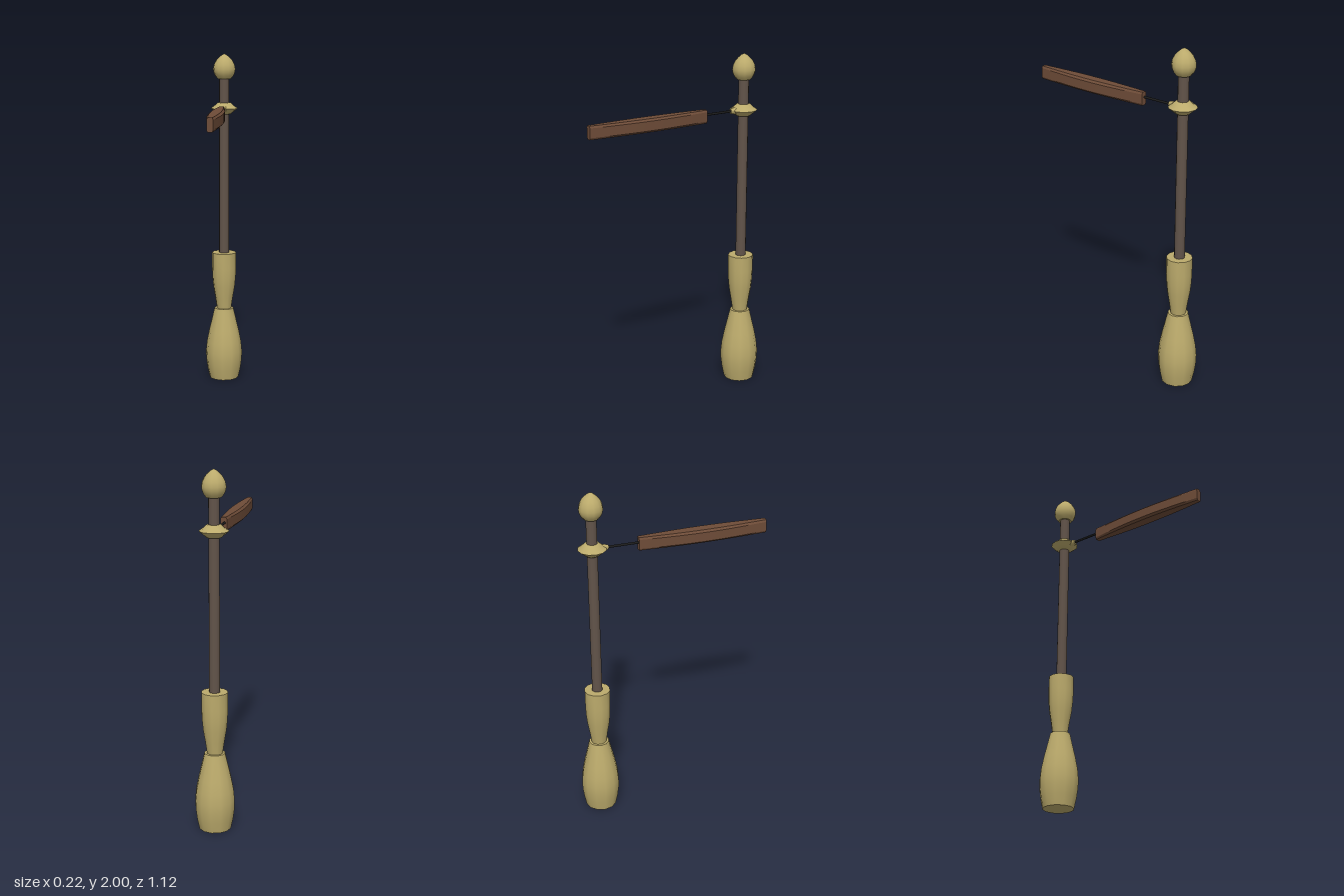
import * as THREE from 'three';
import { toCreasedNormals } from 'three/addons/utils/BufferGeometryUtils.js';

const POST_Z = -0.447;
const ARM_Y = 1.675;

const brass = new THREE.MeshStandardMaterial({ color: 0xbcab6c });
const iron = new THREE.MeshStandardMaterial({ color: 0x62544a });
const wood = new THREE.MeshStandardMaterial({ color: 0x6e4c38 });
const black = new THREE.MeshStandardMaterial({ color: 0x1c1c1c });

function addMesh(parent, name, geometry, material) {
  const mesh = new THREE.Mesh(geometry, material);
  mesh.name = name;
  parent.add(mesh);
  return mesh;
}

// Turned part from [radius, height] pairs, listed bottom to top
function turned(profile, sides = 12) {
  const points = profile.map(([r, y]) => new THREE.Vector2(r, y));
  return toCreasedNormals(new THREE.LatheGeometry(points, sides), 0.75);
}

// Bevelled bar along z that swells sideways toward its middle
function swollenBar(length, halfHeight, endHalf, midHalf) {
  const b = 0.7;
  const outline = [[1, -b], [1, b], [b, 1], [-b, 1], [-1, b], [-1, -b], [-b, -1], [b, -1]];
  const shape = new THREE.Shape(outline.map(([x, y]) => new THREE.Vector2(x, y * halfHeight)));
  const geometry = new THREE.ExtrudeGeometry(shape, { depth: length, steps: 10, bevelEnabled: false });
  const pos = geometry.attributes.position;
  for (let i = 0; i < pos.count; i++) {
    const swell = Math.sin(Math.PI * pos.getZ(i) / length);
    pos.setX(i, pos.getX(i) * (endHalf + (midHalf - endHalf) * swell));
  }
  return toCreasedNormals(geometry, 0.4);
}

export function createModel() {
  const model = new THREE.Group();
  model.name = 'postWithHandle';

  // Upright post with its turned fittings
  const post = new THREE.Group();
  post.name = 'post';
  post.position.z = POST_Z;
  model.add(post);

  addMesh(post, 'base', turned([
    [0, 0], [0.09, 0], [0.103, 0.06], [0.111, 0.12], [0.112, 0.17], [0.106, 0.23],
    [0.092, 0.3], [0.074, 0.375], [0.058, 0.443], [0, 0.443],
  ]), brass);
  addMesh(post, 'sleeve', turned([
    [0, 0.44], [0.044, 0.44], [0.054, 0.51], [0.066, 0.58], [0.072, 0.64],
    [0.074, 0.7], [0.074, 0.793], [0, 0.793],
  ]), brass);
  addMesh(post, 'shaft', new THREE.CylinderGeometry(0.03, 0.03, 1.09, 12), iron).position.y = 1.325;
  addMesh(post, 'collar', turned([
    [0.03, 1.641], [0.04, 1.642], [0.056, 1.656], [0.081, 1.676],
    [0.056, 1.694], [0.04, 1.709], [0.03, 1.71],
  ]), brass);
  addMesh(post, 'finial', turned([
    [0, 1.852], [0.04, 1.852], [0.055, 1.87], [0.064, 1.89], [0.067, 1.91], [0.062, 1.935],
    [0.05, 1.959], [0.033, 1.978], [0.015, 1.993], [0, 2],
  ]), brass);

  // Arm reaching forward from the collar
  const arm = new THREE.Group();
  arm.name = 'arm';
  arm.position.y = ARM_Y;
  model.add(arm);

  const socket = addMesh(arm, 'socket', new THREE.CylinderGeometry(0.014, 0.021, 0.03, 8), brass);
  socket.rotation.x = Math.PI / 2;
  socket.position.z = -0.373;
  const rod = addMesh(arm, 'rod', new THREE.CylinderGeometry(0.007, 0.007, 0.22, 8), black);
  rod.rotation.x = Math.PI / 2;
  rod.position.z = -0.275;
  const grip = addMesh(arm, 'grip', swollenBar(0.745, 0.038, 0.018, 0.041), wood);
  grip.position.set(0.005, -0.007, -0.186);

  return model;
}
